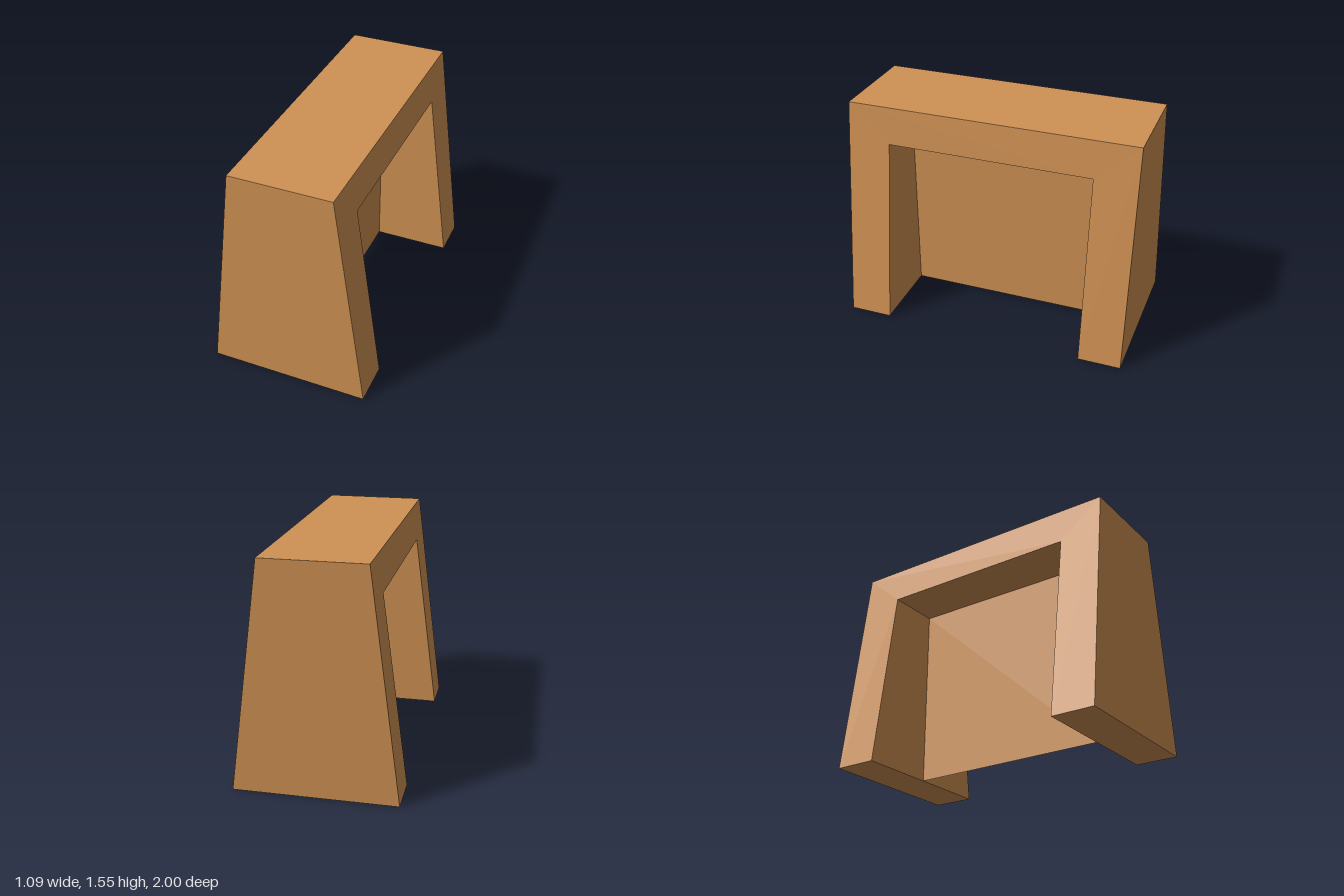
import * as THREE from 'three';

const wood = new THREE.MeshStandardMaterial({ color: 0xcf9153, side: THREE.DoubleSide });
wood.name = 'warm wood';

// Opening between the legs
const OPEN_Z = 0.705, OPEN_Y = 1.295;

// Tapered arch: a four-cornered section swept up one leg, across the top and down the other
function archGeometry() {
  const section = (side, outerX, innerX, outerY, innerY) => [
    [outerX, outerY, side], [-outerX, outerY, side],
    [-innerX, innerY, side * OPEN_Z], [innerX, innerY, side * OPEN_Z],
  ];
  const foot = (side) => section(side, 0.545, 0.545, 0, 0);
  const shoulder = (side) => section(side, 0.345, 0.373, 1.55, OPEN_Y);
  const sections = [foot(1), shoulder(1), shoulder(-1), foot(-1)];

  const positions = [];
  const quad = (a, b, c, d) => positions.push(...a, ...b, ...c, ...a, ...c, ...d);
  for (let i = 0; i < 3; i++) {
    const s = sections[i], t = sections[i + 1];
    for (let j = 0; j < 4; j++) {
      const k = (j + 1) % 4;
      quad(s[k], s[j], t[j], t[k]);
    }
  }
  // Soles of the two legs
  quad(...sections[0]);
  quad(...[...sections[3]].reverse());

  const geometry = new THREE.BufferGeometry();
  geometry.setAttribute('position', new THREE.Float32BufferAttribute(positions, 3));
  geometry.computeVertexNormals();
  return geometry;
}

export function createModel() {
  const model = new THREE.Group();
  model.name = 'taperedArch';

  const arch = new THREE.Mesh(archGeometry(), wood);
  arch.name = 'archFrame';
  model.add(arch);

  // Thin sheet filling the opening along the centre line
  const panel = new THREE.Mesh(new THREE.PlaneGeometry(OPEN_Z * 2, OPEN_Y), wood);
  panel.name = 'centrePanel';
  panel.rotation.y = Math.PI / 2;
  panel.position.y = OPEN_Y / 2;
  model.add(panel);

  return model;
}
